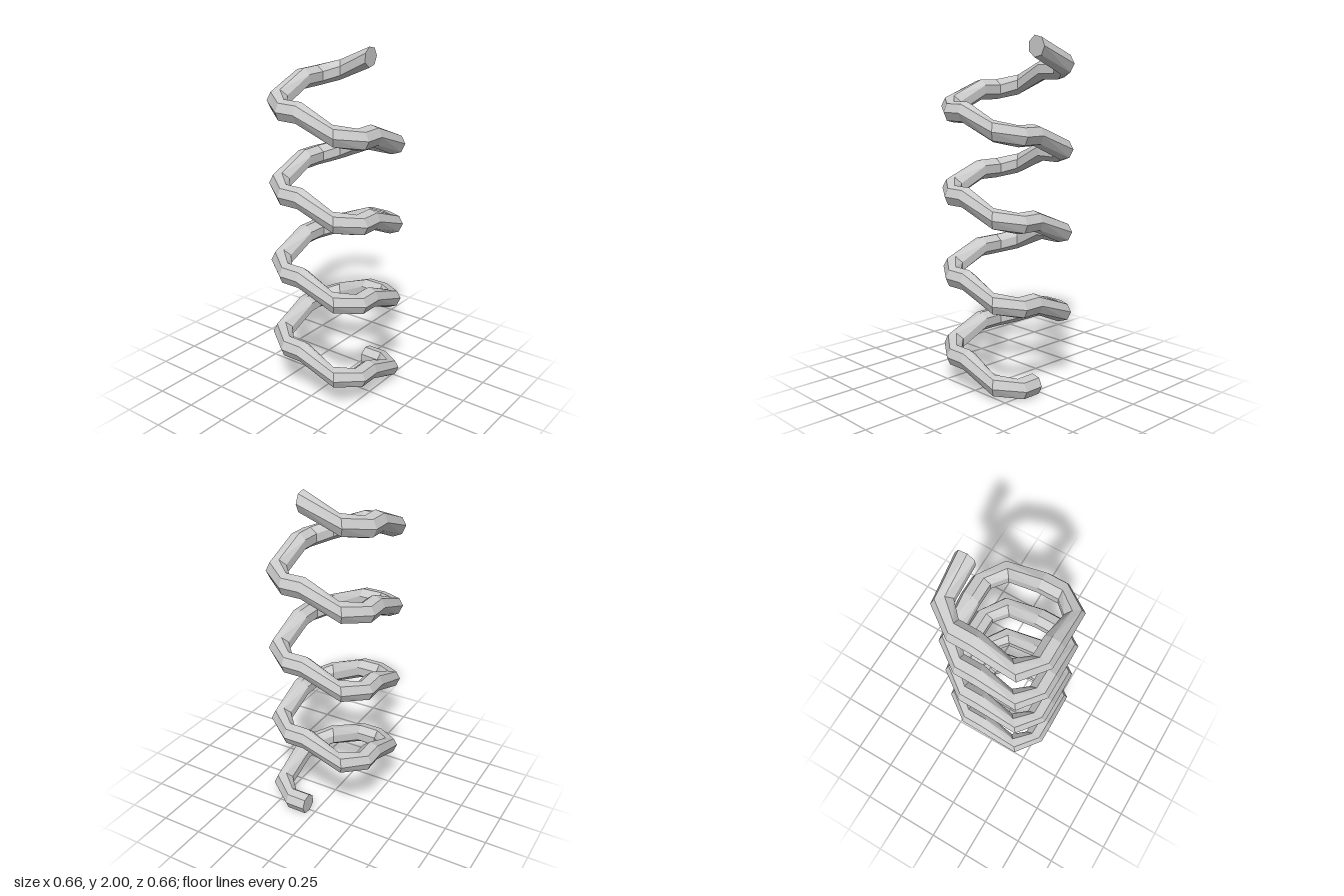
import * as THREE from 'three';

const SIDES = 7, RADIUS = 0.06, QUARTERS = 16, RISE = 0.1177;

// One quarter turn of the coil: centre x, y, z and outward direction x, z
const STATIONS = [
  [0.268, 0.0585, 0.038, 1, 0],
  [0.268, 0.0585, 0.157, 1, 0],
  [0.178, 0.086, 0.268, 0.635, 0.772],
];

// Upright seven-sided ring around the wire, turned by k quarter turns
function ring([x, y, z, dx, dz], k) {
  for (let i = 0; i < k % 4; i++) {
    [x, z] = [-z, x];
    [dx, dz] = [-dz, dx];
  }
  return Array.from({ length: SIDES }, (_, j) => {
    const a = (j / SIDES) * Math.PI * 2;
    const out = RADIUS * Math.cos(a);
    return [x + dx * out, y + k * RISE + RADIUS * Math.sin(a), z + dz * out];
  });
}

function coilGeometry() {
  const rings = [];
  for (let k = 0; k < QUARTERS; k++) STATIONS.forEach((s) => rings.push(ring(s, k)));
  rings.push(ring(STATIONS[0], QUARTERS));

  const positions = [];
  const tri = (a, b, c) => positions.push(...a, ...b, ...c);

  // Wire walls
  for (let i = 0; i < rings.length - 1; i++) {
    for (let j = 0; j < SIDES; j++) {
      const n = (j + 1) % SIDES;
      tri(rings[i][j], rings[i][n], rings[i + 1][n]);
      tri(rings[i][j], rings[i + 1][n], rings[i + 1][j]);
    }
  }

  // Flat cut ends
  const first = rings[0], last = rings[rings.length - 1];
  for (let j = 1; j < SIDES - 1; j++) {
    tri(first[0], first[j + 1], first[j]);
    tri(last[0], last[j], last[j + 1]);
  }

  const geometry = new THREE.BufferGeometry();
  geometry.setAttribute('position', new THREE.Float32BufferAttribute(positions, 3));
  geometry.computeVertexNormals();
  return geometry;
}

export function createModel() {
  const group = new THREE.Group();
  group.name = 'coilSpring';
  const material = new THREE.MeshStandardMaterial({ color: 0xcccccc, flatShading: true });
  const coil = new THREE.Mesh(coilGeometry(), material);
  coil.name = 'coil';
  group.add(coil);
  return group;
}
